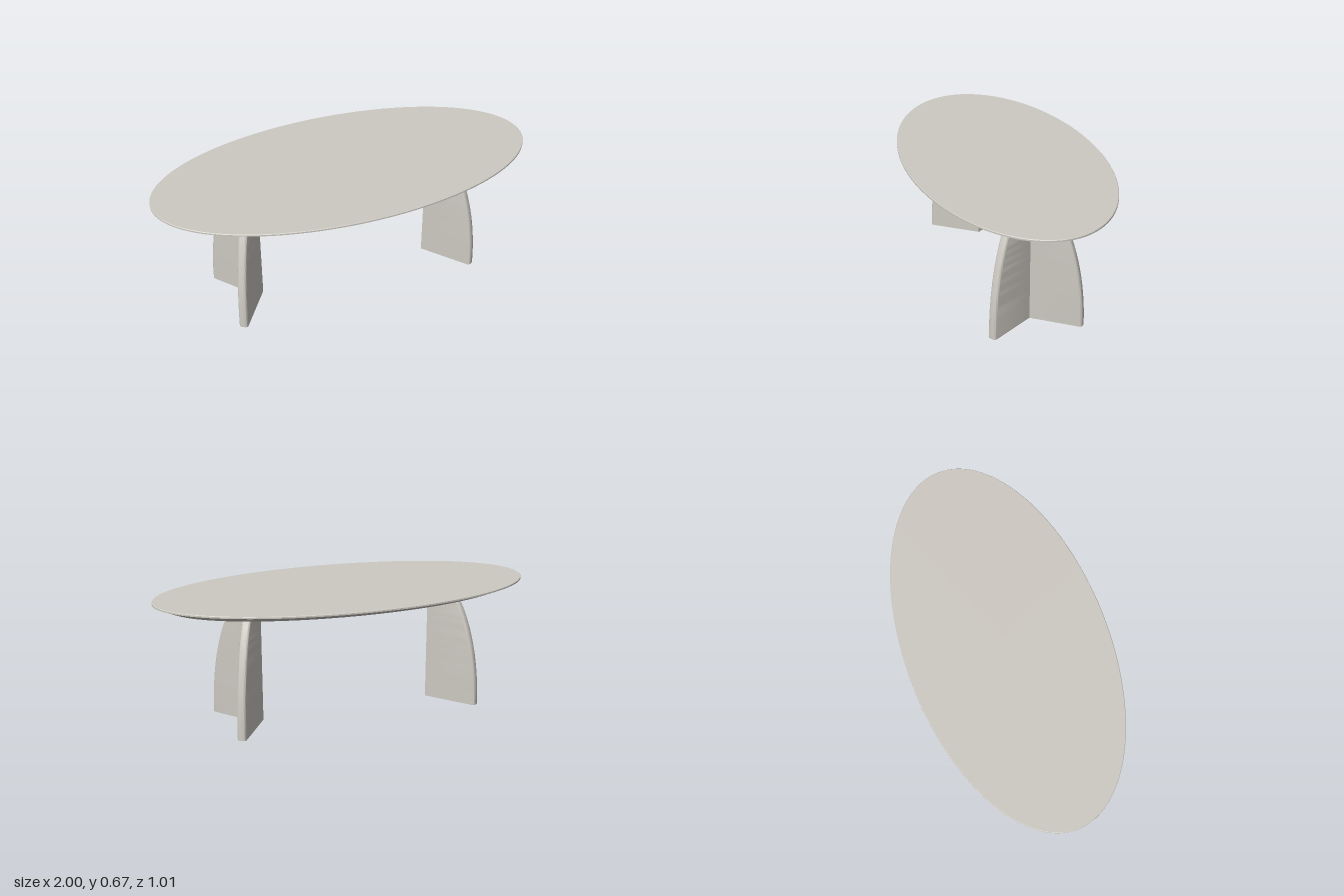
import * as THREE from 'three';
import { toCreasedNormals } from 'three/addons/utils/BufferGeometryUtils.js';

const TOP_Y = 0.667, UNDER_Y = 0.625;

// Oval top: a lathe whose rings become ellipses with a constant bevel width
function topGeometry() {
  const profile = [[0, UNDER_Y], [0.922, UNDER_Y], [1, 0.657], [1, 0.664], [0.997, TOP_Y], [0, TOP_Y]];
  const geo = new THREE.LatheGeometry(profile.map(([r, y]) => new THREE.Vector2(r, y)), 128);
  const p = geo.attributes.position;
  for (let i = 0; i < p.count; i++) {
    const r = Math.hypot(p.getX(i), p.getZ(i));
    if (r > 0.5) p.setZ(i, p.getZ(i) / r * (r - 0.495));
  }
  return toCreasedNormals(geo, 0.3);
}

// V-shaped leg: plan outline raised in steps, with both wing ends drawn in along a curve
function legGeometry() {
  const angle = THREE.MathUtils.degToRad(55);
  const dx = Math.cos(angle), dz = Math.sin(angle);
  const apex = 0.468, length = 0.298, thick = 0.045, r = 0.014, curveHeight = 0.696;
  const plan = (u, v) => new THREE.Vector2(apex + u * dx + v * dz, u * dz - v * dx);

  // One wing with a rounded end, then its mirror image
  const wing = [];
  for (const [v, start] of [[r, -Math.PI / 2], [thick - r, 0]]) {
    for (let i = 0; i <= 6; i++) {
      const a = start + i / 6 * Math.PI / 2;
      wing.push(plan(length - r + r * Math.cos(a), v + r * Math.sin(a)));
    }
  }
  const mirrored = wing.map(q => new THREE.Vector2(q.x, -q.y)).reverse();
  const outline = [new THREE.Vector2(apex, 0), ...wing, new THREE.Vector2(apex + thick / dz, 0), ...mirrored];

  const geo = new THREE.ExtrudeGeometry(new THREE.Shape(outline), {
    depth: UNDER_Y + 0.003, steps: 32, bevelEnabled: false,
  });
  geo.rotateX(-Math.PI / 2);
  const p = geo.attributes.position;
  for (let i = 0; i < p.count; i++) {
    const z = p.getZ(i);
    if (Math.abs(z) < 0.1) continue;
    const k = p.getY(i) / curveHeight;
    const shift = length * (Math.sqrt(1 - k * k) - 1);
    p.setX(i, p.getX(i) + shift * dx);
    p.setZ(i, z + Math.sign(z) * shift * dz);
  }
  return toCreasedNormals(geo, 0.6);
}

export function createModel() {
  const stone = new THREE.MeshStandardMaterial({ color: 0xcdc9c2 });
  stone.name = 'warm grey';
  const table = new THREE.Group();
  table.name = 'ovalTable';

  const top = new THREE.Mesh(topGeometry(), stone);
  top.name = 'tabletop';
  table.add(top);

  // Matching legs opening outwards at each end
  const leg = legGeometry();
  for (const [name, turn] of [['leftLeg', 0], ['rightLeg', Math.PI]]) {
    const mesh = new THREE.Mesh(leg, stone);
    mesh.name = name;
    mesh.rotation.y = turn;
    mesh.position.x = -0.005;
    table.add(mesh);
  }
  return table;
}
